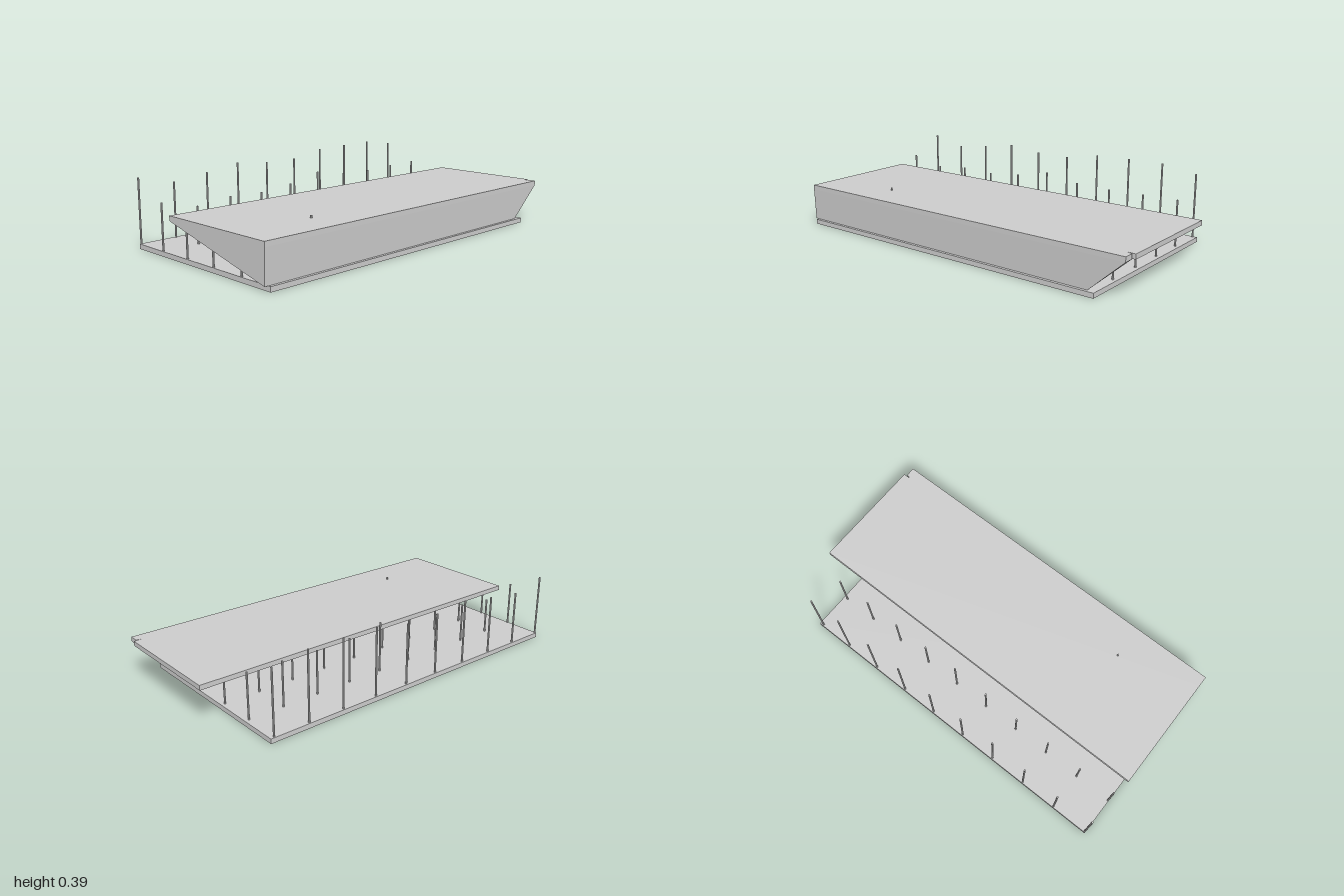
import * as THREE from 'three';
import { ConvexGeometry } from 'three/addons/geometries/ConvexGeometry.js';

const material = new THREE.MeshStandardMaterial({ color: 0xcccccc, flatShading: true });

// Box given by its lower and upper limits on each axis
function slab(name, [x0, x1], [y0, y1], [z0, z1]) {
  const mesh = new THREE.Mesh(new THREE.BoxGeometry(x1 - x0, y1 - y0, z1 - z0), material);
  mesh.position.set((x0 + x1) / 2, (y0 + y1) / 2, (z0 + z1) / 2);
  mesh.name = name;
  return mesh;
}

// Solid body that tapers to the front left corner and slopes down to the base
function taperedBody() {
  const points = [];
  const outline = [[-1, -0.195], [-1, 0.49], [0.985, 0.49], [0.985, 0.44]];
  for (const [x, z] of outline) {
    for (const y of [0.192, 0.217]) points.push(new THREE.Vector3(x, y, z));
  }
  for (const x of [-1, 0.8]) points.push(new THREE.Vector3(x, 0.025, 0.485));
  const mesh = new THREE.Mesh(new ConvexGeometry(points), material);
  mesh.name = 'taperedFrontBody';
  return mesh;
}

export function createModel() {
  const model = new THREE.Group();
  model.name = 'deckOnPosts';

  model.add(slab('baseSlab', [-0.98, 0.84], [0, 0.025], [-0.5, 0.5]));
  model.add(slab('topSlab', [-1, 1], [0.192, 0.217], [-0.195, 0.432]));
  model.add(taperedBody());

  // Rows of thin posts, each row with its top heights from -x to +x
  const posts = new THREE.Group();
  posts.name = 'posts';
  const columns = [-0.975, -0.775, -0.575, -0.375, -0.175, 0.025, 0.225, 0.425, 0.625, 0.818];
  const rows = [
    { z: -0.492, tops: [0.355, 0.31, 0.335, 0.365, 0.345, 0.345, 0.38, 0.385, 0.388, 0.36] },
    { z: -0.296, tops: [0.26, 0.215, 0.235, 0.23, 0.25, 0.29, 0.26, 0.255, 0.26, 0.265] },
    { z: -0.096, tops: Array(10).fill(0.18) },
    { z: 0.104, tops: Array(10).fill(0.186) },
    { z: 0.305, tops: [0.19, 0.19, 0.23, 0.19, 0.19, 0.19, 0.19, 0.19, 0.19, 0.192] },
  ];
  for (const { z, tops } of rows) {
    columns.forEach((x, i) => {
      const height = tops[i] - 0.012;
      const post = new THREE.Mesh(new THREE.CylinderGeometry(0.005, 0.005, height, 8), material);
      post.position.set(x, 0.012 + height / 2, z);
      post.name = 'post';
      posts.add(post);
    });
  }
  model.add(posts);
  return model;
}
